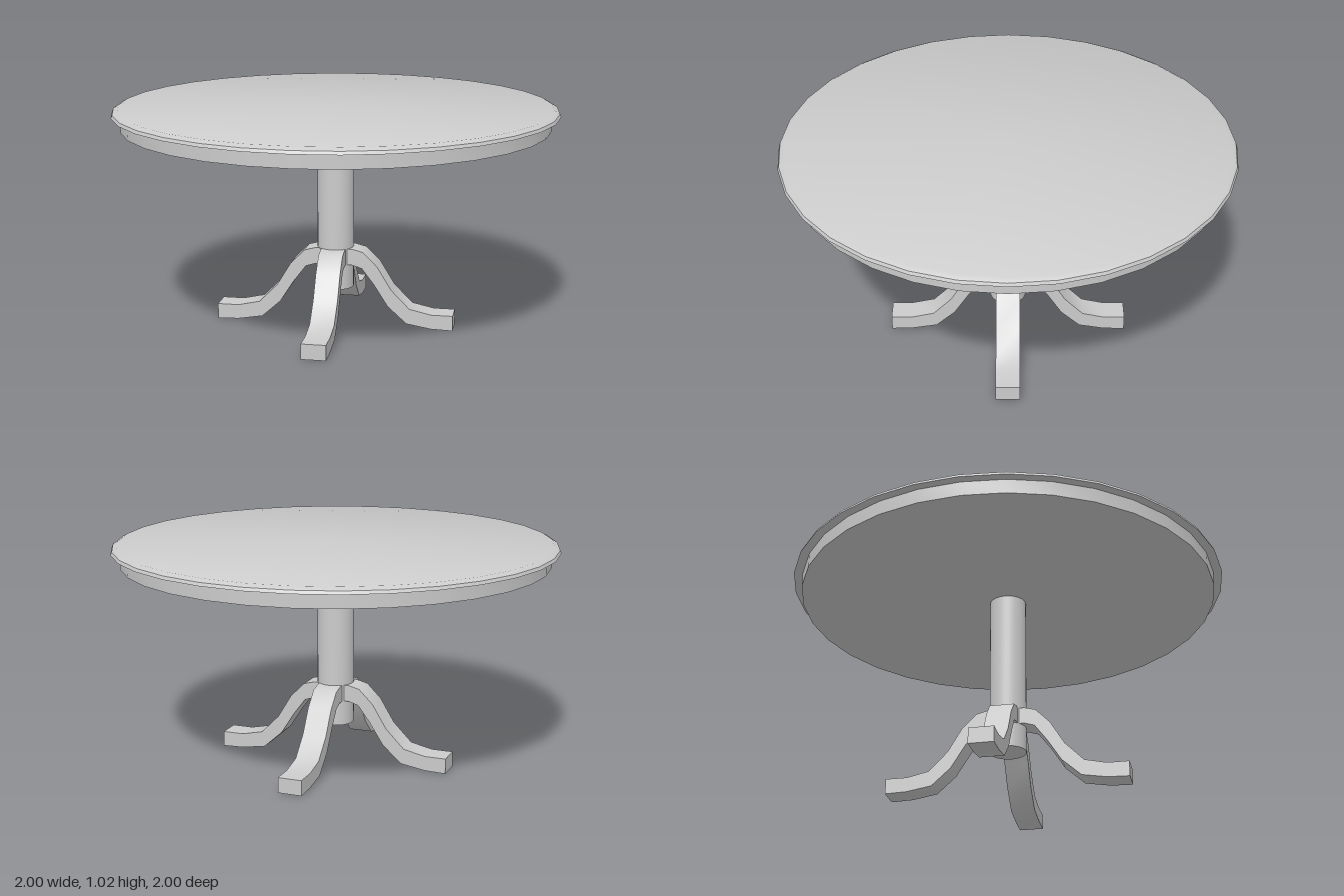
import * as THREE from 'three';
import { toCreasedNormals } from 'three/addons/utils/BufferGeometryUtils.js';

const material = new THREE.MeshStandardMaterial({ color: 0xcccccc });
const toPoints = (list) => list.map(([x, y]) => new THREE.Vector2(x, y));

function addPart(parent, name, geometry, crease) {
  const mesh = new THREE.Mesh(toCreasedNormals(geometry, crease), material);
  mesh.name = name;
  parent.add(mesh);
  return mesh;
}

export function createModel() {
  const table = new THREE.Group();
  table.name = 'pedestalTable';

  // Apron below the round top
  addPart(table, 'apron', new THREE.LatheGeometry(toPoints([
    [0, 0.925], [0.96, 0.925], [0.96, 0.99],
  ]), 32), 0.6);

  // Round top with an eased upper edge
  addPart(table, 'tableTop', new THREE.LatheGeometry(toPoints([
    [0.96, 0.99], [1, 0.99], [0.994, 1.004], [0.972, 1.016], [0, 1.016],
  ]), 32), 0.6);

  // Central column, ending below the leg joints
  const column = new THREE.CylinderGeometry(0.083, 0.083, 0.75, 32);
  column.translate(0, 0.55, 0);
  addPart(table, 'column', column, 0.6);

  // Four curved legs: side outline extruded to the leg's width
  const upper = [[0.04, 0.363], [0.085, 0.363], [0.135, 0.35], [0.2, 0.285],
    [0.265, 0.178], [0.35, 0.092], [0.45, 0.07], [0.548, 0.07]];
  const lower = [[0.548, 0], [0.45, 0.003], [0.337, 0.022], [0.25, 0.1],
    [0.186, 0.2], [0.13, 0.274], [0.085, 0.288], [0.04, 0.288]];
  const outline = new THREE.Shape(toPoints([...upper, ...lower]));
  const width = 0.11;
  const leg = new THREE.ExtrudeGeometry(outline, { depth: width, bevelEnabled: false });
  leg.translate(0, 0, -width / 2);
  ['leftLeg', 'backLeg', 'rightLeg', 'frontLeg'].forEach((name, i) => {
    addPart(table, name, leg, 0.8).rotation.y = i * Math.PI / 2;
  });

  return table;
}
